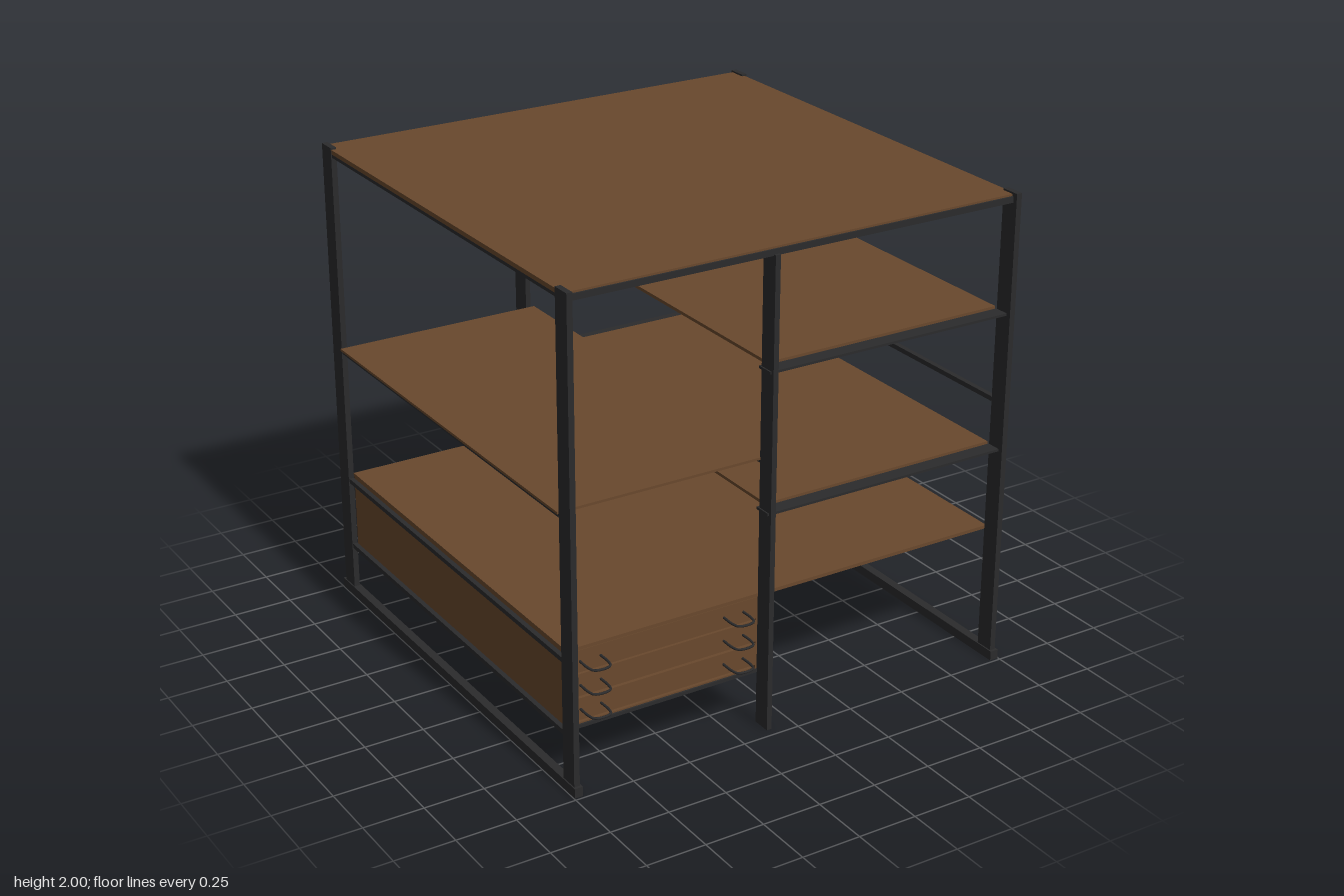
import * as THREE from 'three';

const wood = new THREE.MeshStandardMaterial({ color: 0x69482d });
wood.name = 'walnut wood';
const steel = new THREE.MeshStandardMaterial({ color: 0x2b2b2c });
steel.name = 'dark steel';

// Box given by its minimum and maximum along each axis
function span(parent, name, mat, [x0, x1], [y0, y1], [z0, z1]) {
  const mesh = new THREE.Mesh(new THREE.BoxGeometry(x1 - x0, y1 - y0, z1 - z0), mat);
  mesh.position.set((x0 + x1) / 2, (y0 + y1) / 2, (z0 + z1) / 2);
  mesh.name = name;
  parent.add(mesh);
  return mesh;
}

function group(parent, name) {
  const g = new THREE.Group();
  g.name = name;
  parent.add(g);
  return g;
}

const LEFT = [-0.992, -0.968];
const MID = [-0.126, -0.104];
const RIGHT = [0.966, 0.99];
const FRONT = [0.896, 0.976];
const BACK = [-0.98, -0.898];
const DEPTH = [-0.895, 0.893];

export function createModel() {
  const model = new THREE.Group();
  model.name = 'shelvingUnit';

  // Posts and floor runners
  const frame = group(model, 'frame');
  for (const z of [FRONT, BACK]) {
    span(frame, 'cornerPost', steel, LEFT, [0.03, 2], z);
    span(frame, 'cornerPost', steel, RIGHT, [0.03, 2], z);
  }
  span(frame, 'middlePost', steel, MID, [0.005, 1.965], [0.89, 0.968]);
  span(frame, 'middlePost', steel, MID, [0.005, 1.965], [-0.988, -0.9]);
  span(frame, 'floorRunner', steel, [-0.997, -0.962], [0, 0.04], [-0.997, 0.988]);
  span(frame, 'floorRunner', steel, [0.96, 0.997], [0, 0.04], [-0.997, 0.988]);

  // Top panel in its steel rim
  const top = group(model, 'top');
  span(top, 'topPanel', wood, [-0.99, 0.98], [1.975, 1.993], [-0.973, 0.95]);
  span(top, 'frontRim', steel, [-0.99, 0.99], [1.96, 1.985], [0.935, 0.957]);
  span(top, 'backRim', steel, [-0.99, 0.99], [1.96, 1.985], [-0.978, -0.956]);
  for (const x of [[-0.988, -0.968], [0.966, 0.988]]) {
    span(top, 'sideRim', steel, x, [1.96, 1.985], [-0.96, 0.94]);
  }

  // Right-hand shelves resting on cross bars and slats
  for (const y of [1.512, 0.937]) {
    const shelf = group(model, 'slattedShelf');
    span(shelf, 'board', wood, [-0.1, 0.96], [y - 0.004, y + 0.009], DEPTH);
    for (const z of [[0.88, 0.955], [-0.955, -0.88]]) {
      span(shelf, 'crossBar', steel, [-0.132, 0.996], [y - 0.012, y - 0.002], z);
    }
    for (let i = 0; i < 7; i++) {
      const x = 0.03 + i * 0.133;
      span(shelf, 'slat', steel, [x - 0.01, x + 0.01], [y - 0.012, y - 0.003], DEPTH);
    }
  }
  span(model, 'lowerShelf', wood, [-0.104, 0.978], [0.558, 0.572], DEPTH);

  // Left-hand shelf and the rails at its height
  span(model, 'leftShelf', wood, [-0.998, -0.09], [1.132, 1.142], DEPTH);
  for (const x of [LEFT, MID, RIGHT]) {
    span(model, 'sideRail', steel, [x[0] + 0.001, x[1] - 0.001], [1.118, 1.138], DEPTH);
  }

  // Drawer case
  const chest = group(model, 'drawerCase');
  span(chest, 'caseTop', wood, [-0.97, -0.104], [0.558, 0.572], DEPTH);
  span(chest, 'caseBottom', wood, [-0.966, -0.12], [0.235, 0.248], [-0.888, 0.885]);
  span(chest, 'caseBack', wood, [-0.966, -0.12], [0.248, 0.558], [-0.888, -0.874]);
  for (const x of [[-0.97, -0.956], [-0.132, -0.118]]) {
    span(chest, 'caseSide', wood, x, [0.24, 0.558], [-0.888, 0.888]);
  }
  for (const x of [[-0.99, -0.969], [-0.12, -0.106]]) {
    for (const y of [0.225, 0.53]) {
      span(chest, 'caseRail', steel, x, [y, y + 0.02], DEPTH);
    }
  }
  span(chest, 'frontSill', steel, [-0.97, -0.12], [0.228, 0.242], [0.87, 0.893]);
  span(chest, 'bottomPlate', steel, [-0.966, -0.12], [0.229, 0.236], [-0.2, 0.16]);
  span(chest, 'frontRecess', steel, [-0.957, -0.131], [0.248, 0.558], [0.86, 0.87]);

  // Drawer fronts with bent pull handles
  const bend = new THREE.CatmullRomCurve3([
    [-0.044, 0], [-0.044, 0.055], [-0.036, 0.085], [-0.018, 0.094],
    [0.018, 0.094], [0.036, 0.085], [0.044, 0.055], [0.044, 0],
  ].map(([x, z]) => new THREE.Vector3(x, 0, z)));
  const pull = new THREE.TubeGeometry(bend, 24, 0.005, 8);
  [0.51, 0.41, 0.308].forEach((y) => {
    const drawer = group(chest, 'drawer');
    span(drawer, 'drawerFront', wood, [-0.954, -0.134], [y - 0.046, y + 0.046], [0.865, 0.892]);
    for (const x of [-0.868, -0.237]) {
      const handle = new THREE.Mesh(pull, steel);
      handle.position.set(x, y, 0.892);
      handle.name = 'handle';
      drawer.add(handle);
    }
  });

  return model;
}
